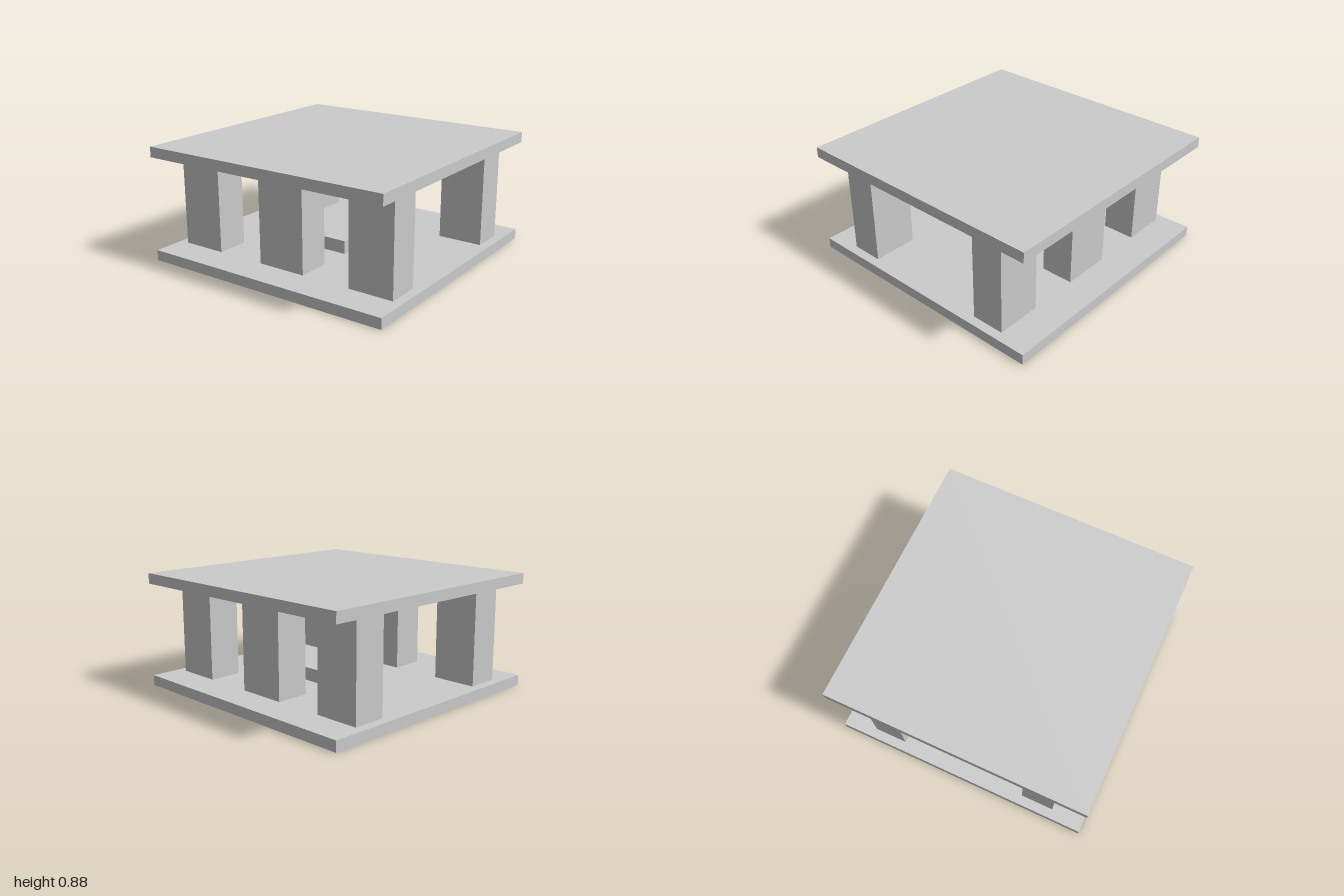
import * as THREE from 'three';

const material = new THREE.MeshStandardMaterial({ color: 0xcccccc, flatShading: true });

// Box resting on height y
function addBox(group, name, [w, h, d], [x, y, z]) {
  const mesh = new THREE.Mesh(new THREE.BoxGeometry(w, h, d), material);
  mesh.name = name;
  mesh.position.set(x, y + h / 2, z);
  group.add(mesh);
}

export function createModel() {
  const model = new THREE.Group();
  model.name = 'twoDeckPlatform';
  const deck = 0.08, gap = 0.72;

  // Bottom and top decks
  addBox(model, 'bottomDeck', [2, deck, 2], [0, 0, 0]);
  addBox(model, 'topDeck', [2, deck, 2], [0, deck + gap, 0]);

  // Two rows of three support blocks
  for (const [row, z] of [['front', 0.626], ['back', -0.626]]) {
    addBox(model, row + 'MiddleBlock', [0.385, gap, 0.252], [0, deck, z]);
    for (const [side, x] of [['Left', 0.754], ['Right', -0.754]]) {
      addBox(model, row + side + 'Block', [0.35, gap, 0.252], [x, deck, z]);
    }
  }

  // Low pad in the centre of the bottom deck
  addBox(model, 'centrePad', [0.38, 0.1, 0.5], [0, deck, 0]);

  return model;
}
